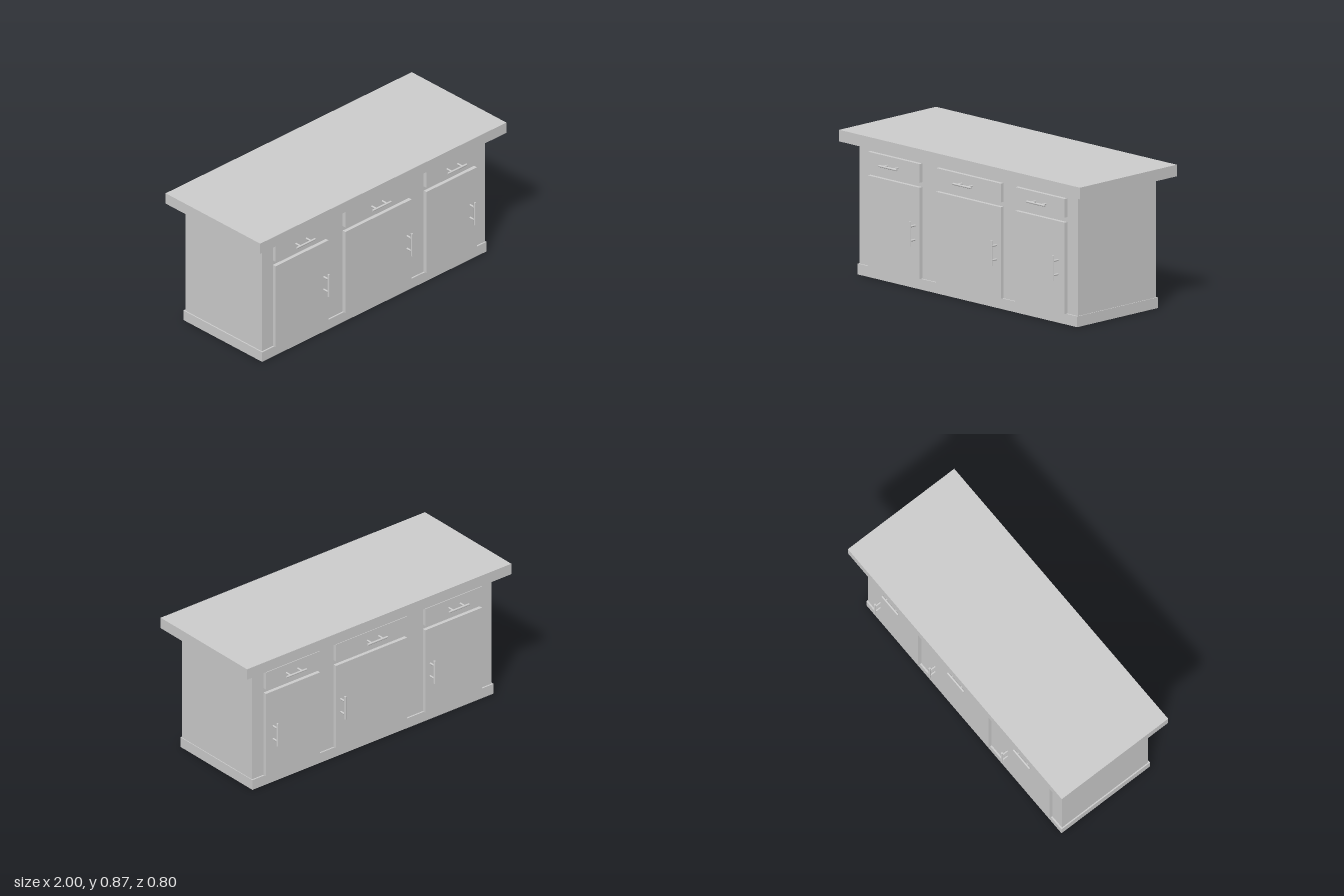
import * as THREE from 'three';

export function createModel() {
  const model = new THREE.Group();
  model.name = 'kitchenIsland';
  const material = new THREE.MeshStandardMaterial({ color: 0xcccccc });

  // Box given by its minimum and maximum on each axis
  function box(name, parent, x0, x1, y0, y1, z0, z1) {
    const mesh = new THREE.Mesh(new THREE.BoxGeometry(x1 - x0, y1 - y0, z1 - z0), material);
    mesh.position.set((x0 + x1) / 2, (y0 + y1) / 2, (z0 + z1) / 2);
    mesh.name = name;
    parent.add(mesh);
  }

  // Bar handle: a round rod on two posts, upright unless turned
  const rodGeometry = new THREE.CylinderGeometry(0.0065, 0.0065, 0.15, 16);
  const postGeometry = new THREE.CylinderGeometry(0.006, 0.006, 0.042, 12).rotateX(Math.PI / 2);
  function handle(name, parent, x, y, z, horizontal) {
    const group = new THREE.Group();
    group.name = name;
    const rod = new THREE.Mesh(rodGeometry, material);
    rod.name = 'handleBar';
    group.add(rod);
    for (const s of [-1, 1]) {
      const post = new THREE.Mesh(postGeometry, material);
      post.position.set(0, s * 0.043, -0.021);
      post.name = 'handlePost';
      group.add(post);
    }
    group.position.set(x, y, z);
    if (horizontal) group.rotation.z = Math.PI / 2;
    parent.add(group);
  }

  // Worktop, cabinet and plinth
  box('worktop', model, -1, 1, 0.8, 0.87, -0.4, 0.4);
  box('cabinet', model, -0.91, 0.902, 0.06, 0.8, -0.326, 0.32);
  box('plinth', model, -0.918, 0.907, 0, 0.065, -0.336, 0.33);

  // Bays: panel edges, drawer handle centre, door handle position
  const bays = [
    { x0: -0.82, x1: -0.39, drawerX: -0.613, doorX: -0.428 },
    { x0: -0.253, x1: 0.285, drawerX: 0.004, doorX: 0.248 },
    { x0: 0.405, x1: 0.815, drawerX: 0.617, doorX: 0.76 },
  ];

  // The back repeats the front, mirrored in z
  for (const side of [1, -1]) {
    const face = new THREE.Group();
    face.name = side > 0 ? 'frontFace' : 'backFace';
    for (const bay of bays) {
      box('door', face, bay.x0, bay.x1, 0.065, 0.617, 0.31, 0.346);
      box('drawer', face, bay.x0, bay.x1, 0.647, 0.76, 0.31, 0.346);
      handle('doorHandle', face, bay.doorX, 0.34, 0.386, false);
      handle('drawerHandle', face, bay.drawerX, 0.704, 0.386, true);
    }
    face.scale.z = side;
    face.position.z = -0.003;
    model.add(face);
  }

  return model;
}
